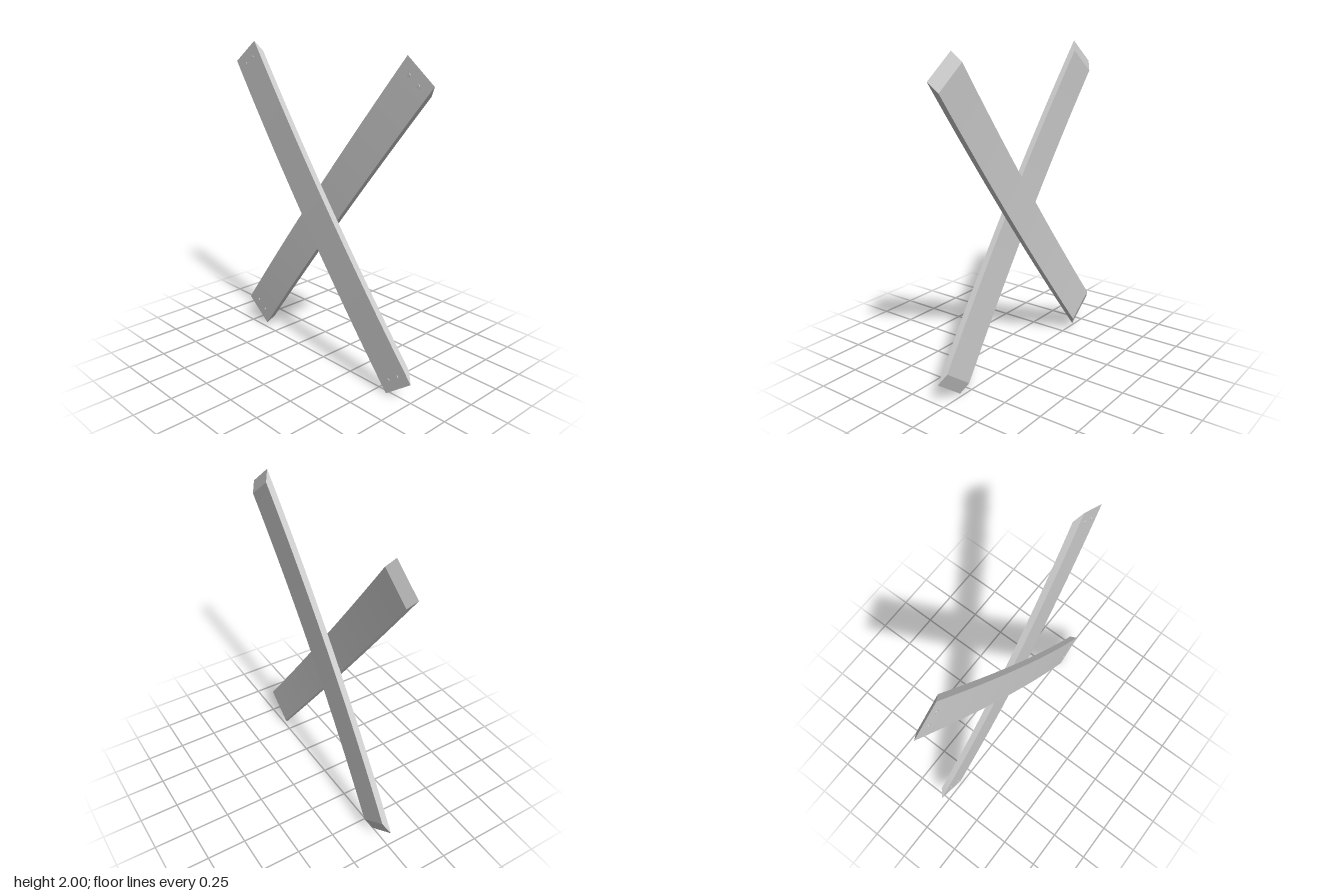
import * as THREE from 'three';

const LENGTH = 2.312, WIDTH = 0.235, THICK = 0.038;
const BOW = 0.028;    // how far the ends curve towards +x
const BEVEL = 0.075;  // how much shorter the +x face is at each end

const material = new THREE.MeshStandardMaterial({ color: 0xcccccc });
const bow = (y) => BOW * (2 * y / LENGTH) ** 2;

// Bowed plank with slanted ends
function plankGeometry() {
  const geo = new THREE.BoxGeometry(THICK, LENGTH, WIDTH, 1, 24, 1);
  const pos = geo.attributes.position;
  for (let i = 0; i < pos.count; i++) {
    const x = pos.getX(i);
    let y = pos.getY(i);
    if (x > 0) y *= 1 - 2 * BEVEL / LENGTH;
    pos.setXYZ(i, x + bow(y), y, pos.getZ(i));
  }
  geo.computeVertexNormals();
  return geo;
}

// One plank with two small pegs near each end of its -x face
function createPlank(name) {
  const group = new THREE.Group();
  group.name = name;
  const board = new THREE.Mesh(plankGeometry(), material);
  board.name = name + 'Board';
  group.add(board);

  const pegGeo = new THREE.CylinderGeometry(0.01, 0.01, 0.016, 16);
  pegGeo.rotateZ(Math.PI / 2);
  for (const end of [-1, 1]) {
    for (const side of [-1, 1]) {
      const y = end * (LENGTH / 2 - 0.07);
      const peg = new THREE.Mesh(pegGeo, material);
      peg.name = 'peg';
      peg.position.set(bow(y) - THICK / 2 + 0.003, y, side * 0.042);
      group.add(peg);
    }
  }
  return group;
}

export function createModel() {
  const model = new THREE.Group();
  model.name = 'crossedPlanks';

  // Outer plank, rising towards the front
  const outer = createPlank('outerPlank');
  outer.position.set(0.004, 1.015, 0.009);
  outer.rotation.x = 0.6576;

  // Inner plank, rising towards the back
  const inner = createPlank('innerPlank');
  inner.position.set(-0.034, 1.002, -0.018);
  inner.rotation.x = -0.6394;

  model.add(outer, inner);
  return model;
}
